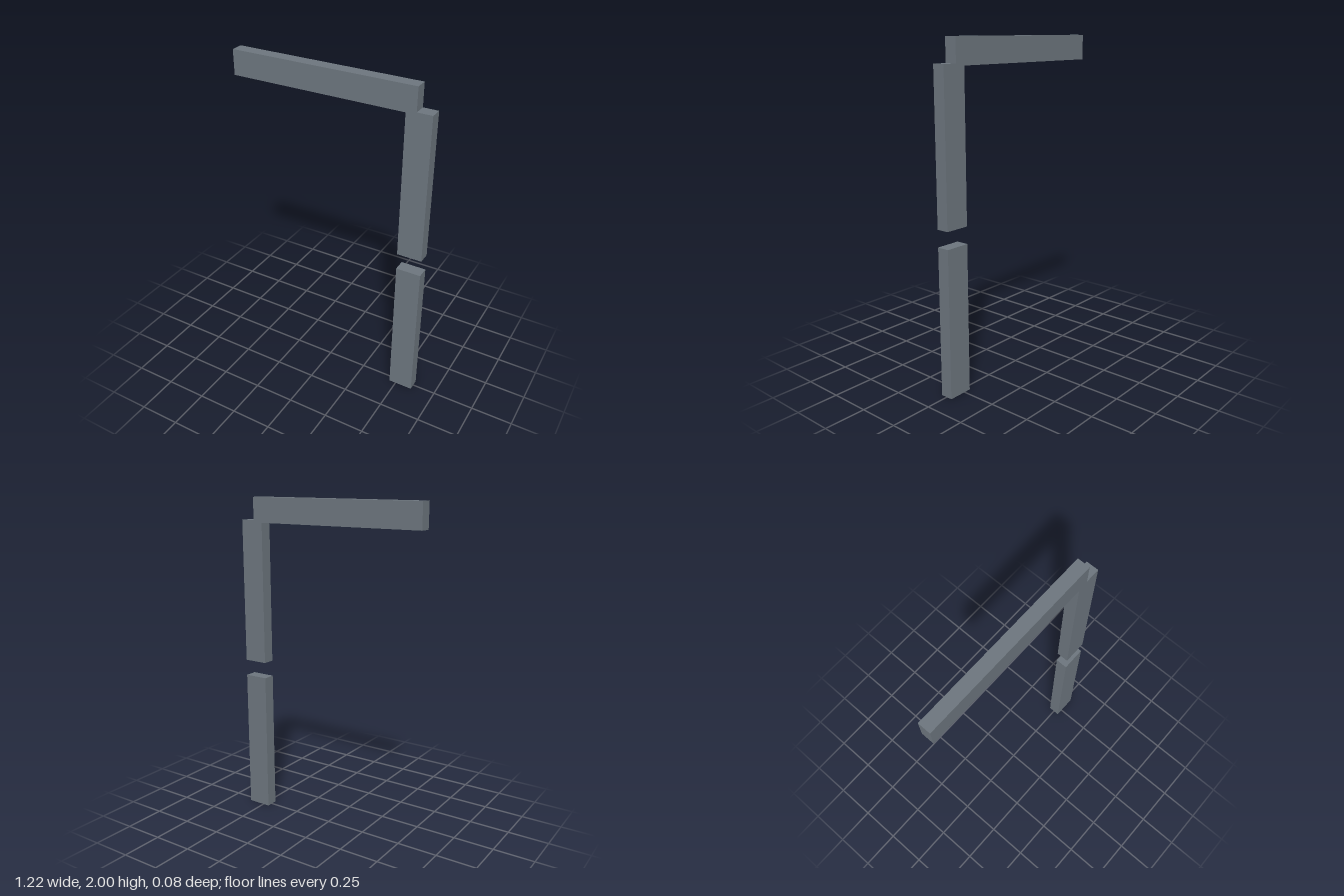
import * as THREE from 'three';

export function createModel() {
  const group = new THREE.Group();
  group.name = 'segmentBars';
  const slate = new THREE.MeshStandardMaterial({ color: 0x6c757d });
  slate.name = 'slate grey';
  const depth = 0.075;

  // Box given by its extents in x and y, centred on z = 0
  const bar = (name, x0, x1, y0, y1) => {
    const mesh = new THREE.Mesh(new THREE.BoxGeometry(x1 - x0, y1 - y0, depth), slate);
    mesh.name = name;
    mesh.position.set((x0 + x1) / 2, (y0 + y1) / 2, 0);
    group.add(mesh);
  };

  bar('topBar', -0.608, 0.518, 1.85, 2);
  bar('upperPost', 0.457, 0.607, 0.983, 1.863);
  bar('lowerPost', 0.457, 0.607, 0, 0.883);

  return group;
}
